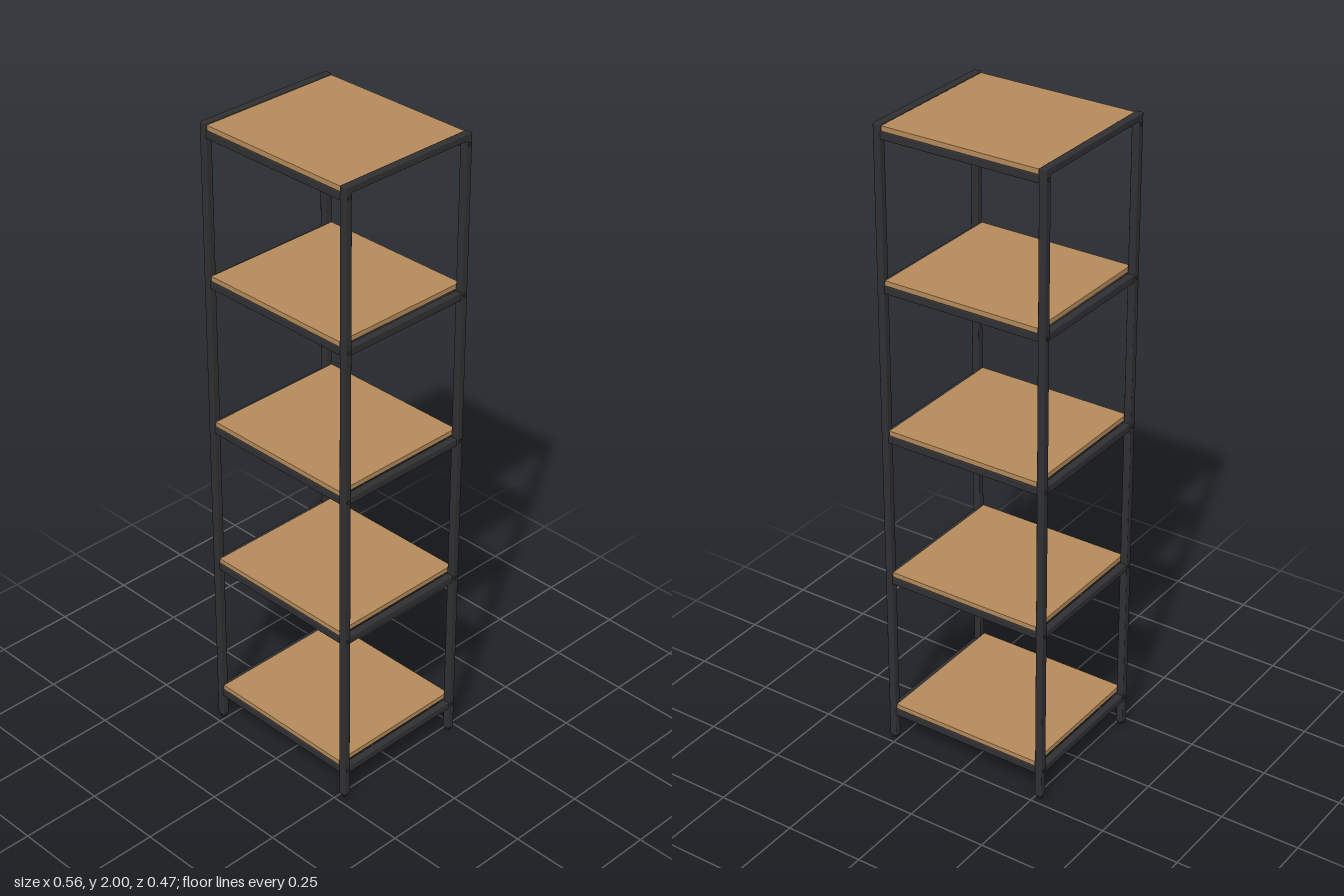
import * as THREE from 'three';
import { RoundedBoxGeometry } from 'three/addons/geometries/RoundedBoxGeometry.js';

export function createModel() {
  const root = new THREE.Group();
  root.name = 'shelfUnit';
  const mat = (name, color) => {
    const m = new THREE.MeshStandardMaterial({ color });
    m.name = name;
    return m;
  };
  const steel = mat('dark steel', 0x303032);
  const wood = mat('wood', 0xb58a5a);
  const rubber = mat('black rubber', 0x1c1c1e);

  const add = (name, geometry, material, x, y, z, parent = root) => {
    const mesh = new THREE.Mesh(geometry, material);
    mesh.name = name;
    mesh.position.set(x, y, z);
    parent.add(mesh);
    return mesh;
  };
  // square steel tube with slightly softened edges
  const tube = (w, h, d) => new RoundedBoxGeometry(w, h, d, 2, 0.003);

  const X = 0.264, Z = 0.222, T = 0.023;      // post centres and tube size
  const shelfTops = [0.128, 0.599, 1.073, 1.543, 1.996];
  const boardH = 0.015, railH = 0.024;

  const postGeo = tube(T, 1.99, T);
  const footGeo = new THREE.CylinderGeometry(0.009, 0.008, 0.012, 12);
  const boltGeo = new THREE.CylinderGeometry(0.006, 0.006, 0.004, 6).rotateZ(Math.PI / 2);
  const sideRailGeo = tube(T, railH, 2 * Z - T);
  const topRailGeo = tube(T, 0.021, 2 * Z);
  const frontRailGeo = tube(2 * X - T, railH, T);
  const boardGeo = new THREE.BoxGeometry(0.5, boardH, 0.46);

  // posts, feet and bolt heads
  for (const sx of [-1, 1]) for (const sz of [-1, 1]) {
    add('post', postGeo, steel, sx * X, 1.005, sz * Z);
    add('foot', footGeo, rubber, sx * X, 0.006, sz * Z);
    for (const top of shelfTops)
      add('bolt', boltGeo, steel, sx * (X + T / 2 + 0.001), top - boardH - railH / 2, sz * Z);
  }

  // shelves: board resting on a frame of rails
  shelfTops.forEach((top, i) => {
    const shelf = new THREE.Group();
    shelf.name = 'shelf';
    root.add(shelf);
    const railY = top - boardH - railH / 2;
    add('board', boardGeo, wood, 0, top - boardH / 2, 0, shelf);
    for (const s of [-1, 1]) {
      add('crossRail', frontRailGeo, steel, 0, railY, s * Z, shelf);
      // on the top shelf the side rails sit level with the post tops
      if (i === shelfTops.length - 1) add('topSideRail', topRailGeo, steel, s * X, 1.9895, 0, shelf);
      else add('sideRail', sideRailGeo, steel, s * X, railY, 0, shelf);
    }
  });
  return root;
}
